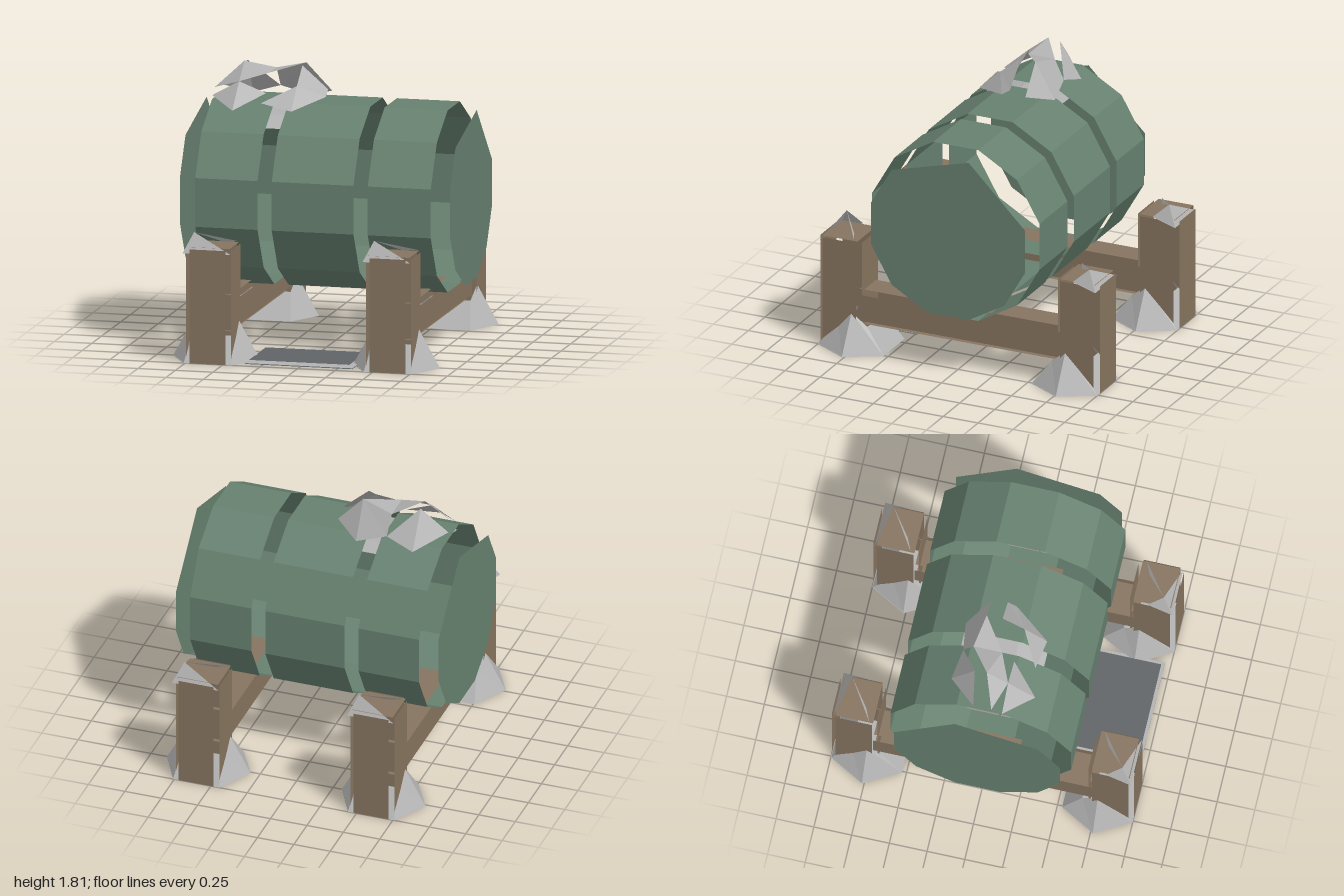
import * as THREE from 'three';

const mat = (name, color) => {
  const m = new THREE.MeshStandardMaterial({ color, flatShading: true, side: THREE.DoubleSide });
  m.name = name;
  return m;
};

export function createModel() {
  const green = mat('barrel green', 0x66806f);
  const brown = mat('wood brown', 0x86745f);
  const snow = mat('snow grey', 0xb2b2b2);
  const slate = mat('slate grey', 0x606467);
  const model = new THREE.Group();

  const add = (parent, name, geo, material, x = 0, y = 0, z = 0) => {
    const m = new THREE.Mesh(geo, material);
    m.name = name;
    m.position.set(x, y, z);
    parent.add(m);
    return m;
  };
  // Faceted sheet from points and faces (triangles or quads)
  const sheet = (pts, faces) => {
    const pos = [];
    for (const f of faces)
      for (let i = 1; i < f.length - 1; i++) pos.push(...pts[f[0]], ...pts[f[i]], ...pts[f[i + 1]]);
    const g = new THREE.BufferGeometry();
    g.setAttribute('position', new THREE.Float32BufferAttribute(pos, 3));
    g.computeVertexNormals();
    return g;
  };
  // Separate side plates of a beam along y or z, leaving its corners open
  const beam = (parent, name, material, size, bevel, axis) => {
    const [w, h, d] = size, b = bevel * 2;
    const flat = (pw, ph, rx, ry, x, y, z) => {
      const g = new THREE.PlaneGeometry(pw, ph);
      g.rotateX(rx).rotateY(ry);
      add(parent, name, g, material, x, y, z);
    };
    for (const s of [-1, 1]) {
      const turn = s * Math.PI / 2;
      flat(axis === 'z' ? d : d - b, axis === 'z' ? h - b : h, 0, turn, s * w / 2, 0, 0);
      if (axis === 'z') flat(w - b, d, -turn, 0, 0, s * h / 2, 0);
      else flat(w - b, h, 0, s > 0 ? 0 : Math.PI, 0, 0, s * d / 2);
    }
  };

  // Barrel: three open twelve-sided bands and two end discs
  const barrel = new THREE.Group();
  barrel.name = 'barrel';
  barrel.position.y = 0.98;
  model.add(barrel);
  for (const [a, b] of [[-0.785, -0.37], [-0.275, 0.27], [0.365, 0.785]]) {
    const g = new THREE.CylinderGeometry(0.62, 0.62, b - a, 12, 1, true);
    g.rotateY(Math.PI / 12).rotateZ(Math.PI / 2);
    add(barrel, 'barrelBand', g, green, (a + b) / 2);
  }
  const rim = [];
  for (let i = 0; i < 12; i++) {
    if (i === 1 || i === 3) continue; // chipped corners
    const t = (i + 0.5) * Math.PI / 6;
    rim.push(new THREE.Vector2(Math.cos(t) * 0.57, Math.sin(t) * 0.57));
  }
  for (const s of [-1, 1]) {
    const g = new THREE.ShapeGeometry(new THREE.Shape(rim));
    g.rotateY(Math.PI / 2);
    const end = add(barrel, 'barrelEnd', g, green, s * 0.9);
    end.material = green;
  }

  // Side rails
  for (const x of [-0.6, 0.6]) {
    const rail = new THREE.Group();
    rail.name = 'rail';
    rail.position.set(x, 0.29, 0);
    beam(rail, 'railPlate', brown, [0.24, 0.24, 1.46], 0.03, 'z');
    model.add(rail);
  }

  // Posts with a snow cap and a snow drift; the back pair is turned half round
  const hex = [[0.29, 0], [0.16, 0.235], [-0.16, 0.235], [-0.29, 0], [-0.16, -0.235], [0.16, -0.235]];
  const driftPts = [
    ...hex.map(([x, z]) => [x, 0, z]),
    ...hex.map(([x, z], i) => [x * (i % 3 ? 0.8 : 0.5), i % 3 ? 0.17 : 0.26, z * 0.45]),
  ];
  const driftFaces = hex.map((_, i) => [i, 6 + i, 6 + (i + 1) % 6, (i + 1) % 6]);
  for (const turn of [0, Math.PI]) {
    const side = new THREE.Group();
    side.name = turn ? 'backPosts' : 'frontPosts';
    side.rotation.y = turn;
    model.add(side);
    for (const x of [-0.6, 0.6]) {
      const post = new THREE.Group();
      post.name = 'post';
      post.position.set(x, 0.375, 0.85);
      beam(post, 'postPlate', brown, [0.3, 0.75, 0.3], 0.03, 'y');
      side.add(post);
      add(post, 'postTop', new THREE.PlaneGeometry(0.28, 0.25).rotateX(-Math.PI / 2), brown, 0, 0.385, 0);
      add(post, 'postBottom', new THREE.PlaneGeometry(0.24, 0.24).rotateX(Math.PI / 2), brown, 0, -0.375, 0);
      const cap = sheet(
        [[-0.17, 0.72, 0.14], [0.15, 0.725, 0.14], [-0.11, 0.85, 0.07], [0.14, 0.77, -0.1],
          [0.05, 0.77, -0.06], [-0.15, 0.76, -0.03]],
        [[0, 1, 2], [2, 3, 4], [2, 5, 0]]);
      add(side, 'postSnowCap', cap, snow, x, 0, 0.85);
      add(side, 'snowDrift', sheet(driftPts, driftFaces), snow, x, 0, 0.765);
      add(side, 'snowDriftBase', sheet(driftPts, [[0, 1, 2, 3, 4, 5]]), snow, x, 0.004, 0.765);
    }
  }

  // Broken snow patch on top of the barrel
  const patch = sheet([
    // back left and back right
    [-0.79, 1.64, -0.05], [-0.61, 1.56, -0.235], [-0.42, 1.62, -0.2], [-0.61, 1.80, -0.08],
    [-0.22, 1.56, -0.23], [-0.05, 1.62, -0.1], [-0.22, 1.80, -0.09], [-0.43, 1.75, -0.13],
    // middle and front left
    [-0.61, 1.81, 0], [-0.43, 1.75, 0.06], [-0.79, 1.64, 0.07], [-0.61, 1.70, 0.14],
    [-0.79, 1.60, 0.14], [-0.43, 1.63, 0.14], [-0.61, 1.54, 0.32],
    // front right
    [-0.22, 1.80, 0.015], [-0.05, 1.65, 0.01], [-0.05, 1.61, 0.07], [-0.22, 1.69, 0.16],
    [-0.22, 1.55, 0.31], [-0.43, 1.59, 0.28],
  ], [
    [0, 1, 3], [1, 2, 3], [2, 4, 6, 7], [4, 5, 6], [8, 9, 7], [9, 6, 7],
    [8, 10, 11], [8, 11, 9], [12, 14, 11], [14, 13, 11],
    [15, 18, 16], [16, 18, 17], [18, 20, 19], [17, 18, 19],
  ]);
  add(model, 'barrelSnow', patch, snow);
  // Snow underside, seen in the gap between bands
  const under = [];
  for (const x of [-0.72, -0.12])
    for (const [y, z] of [[1.435, 0.32], [1.49, 0.13], [1.5, -0.1], [1.49, -0.23]]) under.push([x, y, z]);
  add(model, 'barrelSnowUnderside', sheet(under, [[0, 4, 5, 1], [1, 5, 6, 2], [2, 6, 7, 3]]), snow);

  // Ground plate with a pale border, lying between the front posts
  const plate = (name, w, d, material, y) =>
    add(model, name, new THREE.PlaneGeometry(w, d).rotateX(-Math.PI / 2), material, -0.005, y, 0.72);
  plate('groundPlateBorder', 0.72, 0.48, snow, 0.012);
  plate('groundPlate', 0.67, 0.44, slate, 0.03);
  plate('groundPlateUnderside', 0.72, 0.48, slate, 0.006);

  return model;
}
